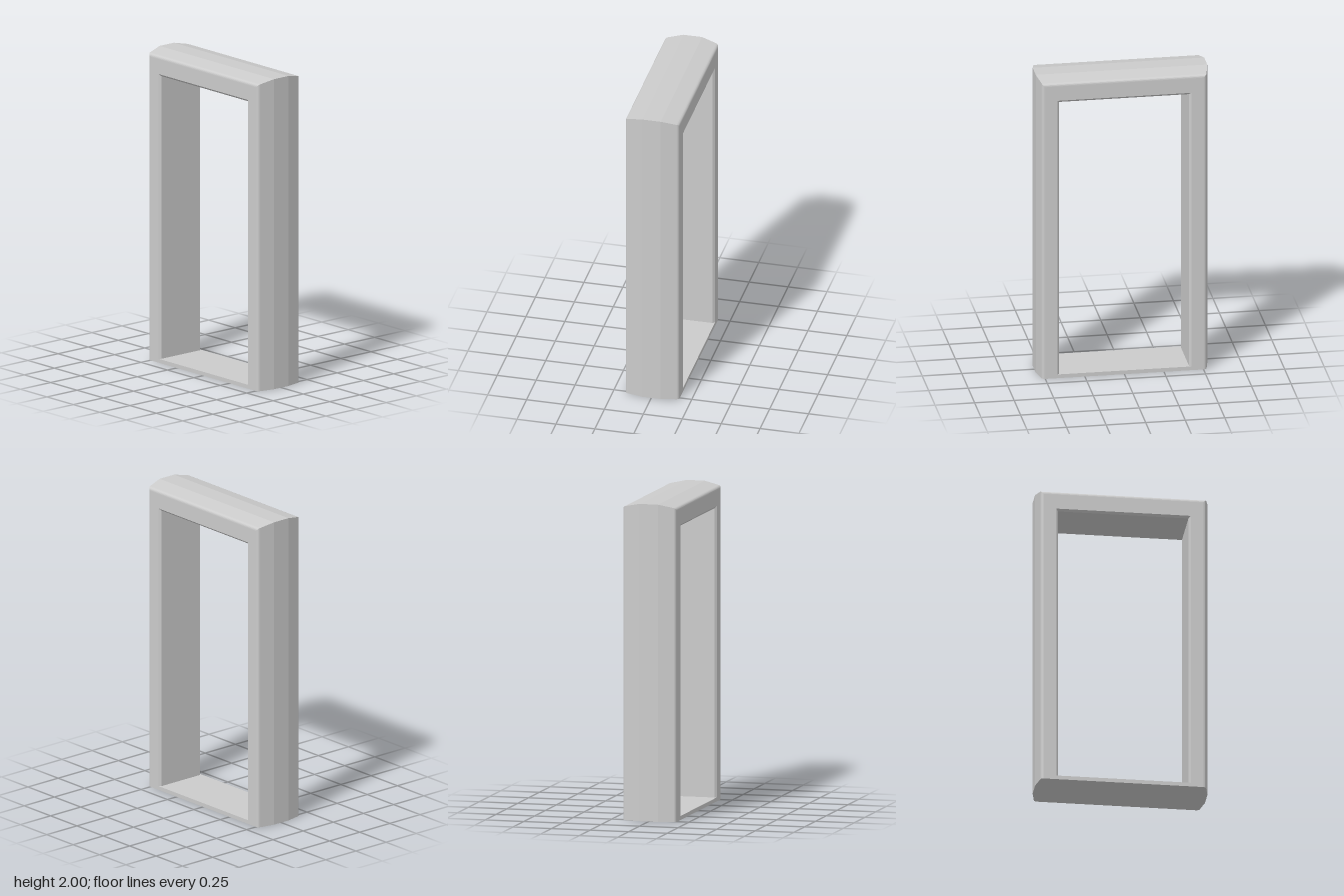
import * as THREE from 'three';

const W = 0.542, H = 2, D = 0.173; // half width, height, half depth

// Convex cross-section as [inset from outer edge, z], front half then mirrored back half
function frameProfile() {
  const round = new THREE.QuadraticBezierCurve(
    new THREE.Vector2(0.02, 0.155), new THREE.Vector2(0.024, D), new THREE.Vector2(0.042, D)
  ).getPoints(8).map(p => [p.x, p.y]);
  const half = [[0, 0.06], ...round, [0.119, D], [0.132, 0.16]];
  return [...half, ...half.map(([d, z]) => [d, -z]).reverse()];
}

// Sweep the profile up one post, across the head and down the other post, mitred at the corners
function frameGeometry() {
  const profile = frameProfile(), n = profile.length, pos = [];
  const rings = [[-1, false], [-1, true], [1, true], [1, false]].map(([side, top]) =>
    profile.map(([d, z]) => {
      const drop = d > 0.1 ? d + 0.019 : d; // the head is slightly deeper than the posts
      return [side * (W - d), top ? H - drop : 0, z];
    }));
  const tri = (a, b, c) => pos.push(...a, ...b, ...c);
  for (let r = 0; r < 3; r++) {
    for (let i = 0; i < n; i++) {
      const j = (i + 1) % n, A = rings[r], B = rings[r + 1];
      tri(A[i], A[j], B[j]);
      tri(A[i], B[j], B[i]);
    }
  }
  // Feet of the posts
  for (let i = 1; i < n - 1; i++) {
    tri(rings[0][0], rings[0][i + 1], rings[0][i]);
    tri(rings[3][0], rings[3][i], rings[3][i + 1]);
  }
  const g = new THREE.BufferGeometry();
  g.setAttribute('position', new THREE.Float32BufferAttribute(pos, 3));
  g.computeVertexNormals();
  return g;
}

// Thin threshold whose ends follow the bevelled inner edges of the posts
function sillGeometry() {
  const a = W - 0.119, b = W - 0.132;
  const plan = new THREE.Shape([[-a, -D], [a, -D], [b, -0.16], [b, 0.16], [a, D], [-a, D], [-b, 0.16], [-b, -0.16]]
    .map(([x, y]) => new THREE.Vector2(x, y)));
  return new THREE.ExtrudeGeometry(plan, { depth: 0.025, bevelEnabled: false }).rotateX(-Math.PI / 2);
}

export function createModel() {
  const model = new THREE.Group();
  model.name = 'doorFrame';
  const material = new THREE.MeshStandardMaterial({ color: 0xcccccc, flatShading: true });
  const add = (name, geometry) => {
    const mesh = new THREE.Mesh(geometry, material);
    mesh.name = name;
    model.add(mesh);
  };
  add('postsAndHead', frameGeometry());
  add('sill', sillGeometry());
  return model;
}
